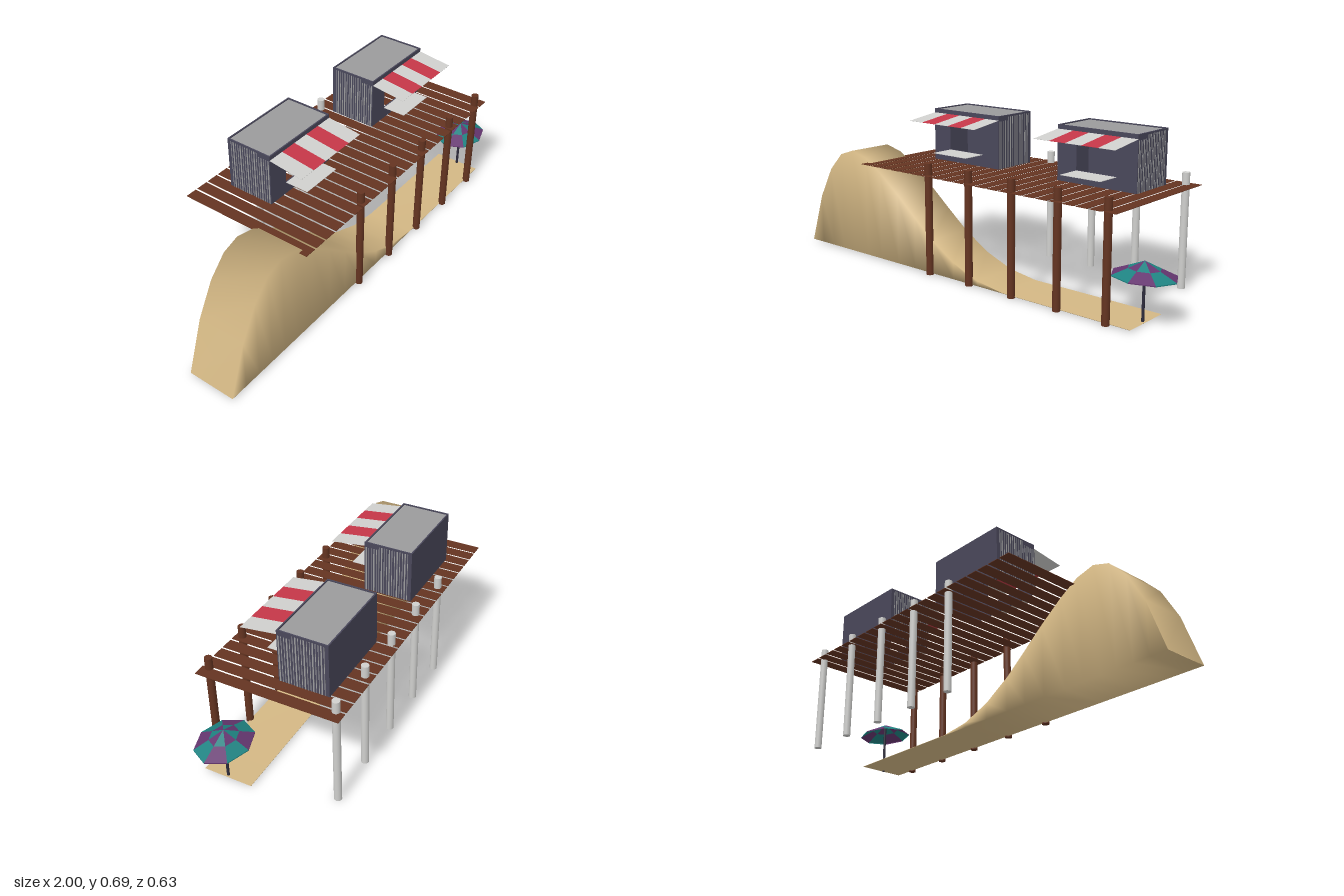
import * as THREE from 'three';

const mat = (name, color, side = THREE.FrontSide) => {
  const m = new THREE.MeshStandardMaterial({ color, side });
  m.name = name;
  return m;
};

export function createModel() {
  const D = THREE.DoubleSide;
  const wood = mat('brown wood', 0x643421, D);
  const sand = mat('sand', 0xd3b784, D);
  const wall = mat('dark slate wall', 0x49475a, D);
  const grey = mat('grey', 0x9a9a9b, D);
  const white = mat('white', 0xcfcfcd, D);
  const red = mat('red', 0xc43748, D);
  const teal = mat('teal', 0x1f8281, D);
  const purple = mat('purple', 0x653670, D);
  const dark = mat('dark pole', 0x2d2b3c);

  const model = new THREE.Group();
  model.name = 'beachPier';

  const add = (parent, name, geo, material, x = 0, y = 0, z = 0) => {
    const m = new THREE.Mesh(geo, material);
    m.name = name;
    m.position.set(x, y, z);
    parent.add(m);
    return m;
  };
  const box = (parent, name, material, w, h, d, x, y, z) =>
    add(parent, name, new THREE.BoxGeometry(w, h, d), material, x, y, z);

  // Deck of thin planks with gaps
  const deck = new THREE.Group();
  deck.name = 'deck';
  model.add(deck);
  for (let i = 0; i < 22; i++) {
    box(deck, 'plank', wood, 0.054, 0.002, 0.631, -0.548 + i * 0.0637, 0.449, -0.003);
  }

  // Posts: wooden at the front, white at the back
  const postGeo = new THREE.CylinderGeometry(0.0165, 0.0165, 0.502, 16);
  for (let i = 0; i < 5; i++) {
    const x = -0.172 + i * 0.2338;
    add(model, 'frontPost', postGeo, wood, x, 0.251, 0.282);
    add(model, 'backPost', postGeo, white, x, 0.251, -0.281);
  }

  // Sand hill running out into a flat strip; smooth normals over its edges
  const profile = [[-1, 0.007], [-0.92, 0.24], [-0.84, 0.385], [-0.76, 0.467], [-0.68, 0.493],
    [-0.59, 0.471], [-0.495, 0.415], [-0.38, 0.331], [-0.27, 0.242], [-0.163, 0.158],
    [-0.035, 0.08], [0.105, 0.027], [0.245, 0.007], [0.87, 0.007]];
  const z0 = 0.057, z1 = 0.277, base = 0.005;
  const pos = [], idx = [];
  profile.forEach(([x, y], i) => {
    pos.push(x, y, z1, x, base, z1, x, base, z0, x, y, z0);
    if (i === 0) return;
    for (let k = 0; k < 4; k++) {
      const n = (k + 1) % 4, p = (i - 1) * 4, q = i * 4;
      idx.push(p + k, p + n, q + n, p + k, q + n, q + k);
    }
  });
  const sandGeo = new THREE.BufferGeometry();
  sandGeo.setAttribute('position', new THREE.Float32BufferAttribute(pos, 3));
  sandGeo.setIndex(idx);
  sandGeo.computeVertexNormals();
  add(model, 'sandHill', sandGeo, sand);

  // Kiosks with an open hatch, folded-down counter, slatted sides and awning
  const W = 0.393, H = 0.238, DEPTH = 0.222, T = 0.006;
  const front = new THREE.Shape();
  front.moveTo(-W / 2, 0).lineTo(W / 2, 0).lineTo(W / 2, H).lineTo(-W / 2, H).closePath();
  const hatch = new THREE.Path();
  hatch.moveTo(-0.099, 0.055).lineTo(-0.099, 0.165).lineTo(0.099, 0.165).lineTo(0.099, 0.055).closePath();
  front.holes.push(hatch);
  const frontGeo = new THREE.ExtrudeGeometry(front, { depth: T, bevelEnabled: false });

  const makeKiosk = (x) => {
    const k = new THREE.Group();
    k.name = 'kiosk';
    k.position.set(x, 0.45, 0);
    model.add(k);
    add(k, 'frontWall', frontGeo, wall, 0, 0, -T);
    box(k, 'backWall', wall, W, H, T, 0, H / 2, -DEPTH + T / 2);
    for (const s of [-1, 1]) {
      box(k, 'sideWall', wall, T, H, DEPTH - 2 * T, s * (W - T) / 2, H / 2, -DEPTH / 2);
      for (let i = 0; i < 17; i++) {
        const h = i < 5 ? 0.214 : 0.23;
        box(k, 'sideSlat', grey, 0.001, h, i % 3 === 0 ? 0.006 : 0.003,
          s * (W / 2 + 0.0003), h / 2, -0.008 - i * 0.0122);
      }
    }
    box(k, 'roof', grey, W - 2 * T, 0.002, DEPTH - 2 * T, 0, H - 0.006, -DEPTH / 2);
    box(k, 'counter', white, 0.198, 0.002, 0.11, 0, 0.054, 0.055);

    // Striped awning, sloping gently forward
    const awning = new THREE.Group();
    awning.name = 'awning';
    awning.position.set(0, 0.219, 0);
    awning.rotation.x = Math.atan2(0.021, 0.16);
    k.add(awning);
    for (let i = 0; i < 5; i++) {
      box(awning, 'awningStripe', i % 2 ? red : white, W / 5, 0.001, 0.1615, (i - 2) * W / 5, 0, 0.081);
    }
  };
  makeKiosk(-0.211);
  makeKiosk(0.508);

  // Parasol: eight-sided canopy with checkered inner and outer panels
  const parasol = new THREE.Group();
  parasol.name = 'parasol';
  parasol.position.set(0.859, 0, 0.172);
  model.add(parasol);
  add(parasol, 'pole', new THREE.CylinderGeometry(0.006, 0.006, 0.238, 10), dark, 0, 0.119, 0);
  const panels = [[], []];
  const at = (i, r, y) => {
    const a = i * Math.PI / 4;
    return [Math.cos(a) * 0.139 * r, y, Math.sin(a) * 0.112 * r];
  };
  const quad = (list, a, b, c, d) => list.push(...a, ...b, ...c, ...a, ...c, ...d);
  for (let i = 0; i < 8; i++) {
    const inner = panels[(i + 1) % 2], outer = panels[i % 2];
    inner.push(0, 0.25, 0, ...at(i + 1, 0.5, 0.22), ...at(i, 0.5, 0.22));
    quad(outer, at(i, 0.5, 0.22), at(i + 1, 0.5, 0.22), at(i + 1, 1, 0.191), at(i, 1, 0.191));
    quad(outer, at(i, 1, 0.191), at(i + 1, 1, 0.191), at(i + 1, 1, 0.187), at(i, 1, 0.187));
  }
  panels.forEach((list, i) => {
    const g = new THREE.BufferGeometry();
    g.setAttribute('position', new THREE.Float32BufferAttribute(list, 3));
    g.computeVertexNormals();
    add(parasol, i ? 'purplePanels' : 'tealPanels', g, i ? purple : teal);
  });

  return model;
}
